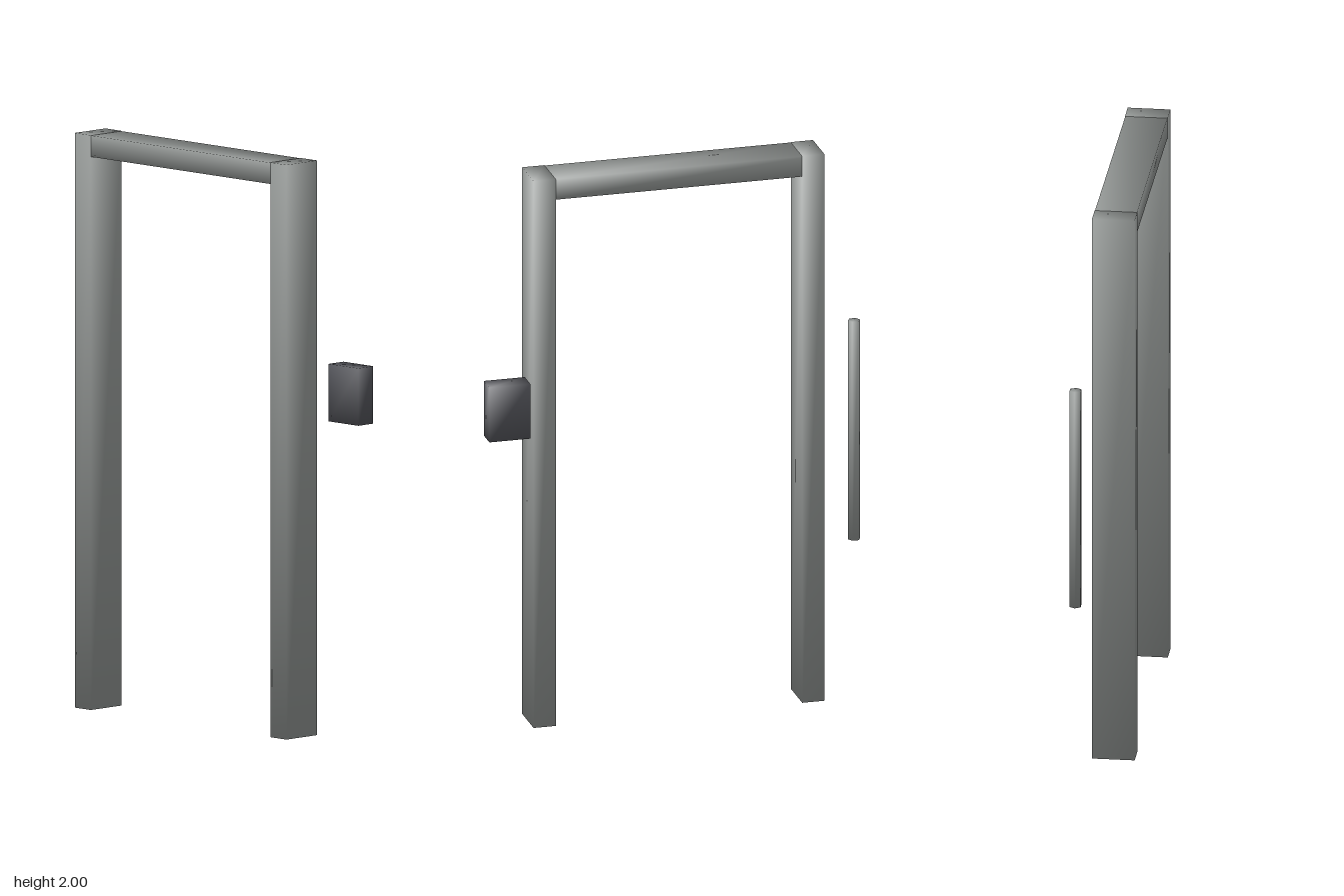
import * as THREE from 'three';

const grey = new THREE.MeshStandardMaterial({ color: 0x8f9391 });
const dark = new THREE.MeshStandardMaterial({ color: 0x515258 });

// Point every normal out through its corner, so the shading runs softly over the edges
function soften(geometry) {
  geometry.computeBoundingBox();
  const half = geometry.boundingBox.max;
  const { position, normal } = geometry.attributes;
  const n = new THREE.Vector3();
  for (let i = 0; i < position.count; i++) {
    n.fromBufferAttribute(position, i).divide(half).normalize();
    normal.setXYZ(i, n.x, n.y, n.z);
  }
  return geometry;
}

function addPart(group, name, geometry, material, x, y, z) {
  const mesh = new THREE.Mesh(soften(geometry), material);
  mesh.name = name;
  mesh.position.set(x, y, z);
  group.add(mesh);
}

export function createModel() {
  const group = new THREE.Group();
  group.name = 'doorFrame';

  // Door frame: two posts, with a lintel running into both of them
  const centreX = -0.036, frameZ = 0.044, depth = 0.148;
  const outer = 0.519, postWidth = 0.079, lintelHeight = 0.074, inset = 0.001;
  for (const side of [-1, 1]) {
    addPart(group, side < 0 ? 'rightPost' : 'leftPost',
      new THREE.BoxGeometry(postWidth, 2, depth), grey,
      centreX + side * (outer - postWidth / 2), 1, frameZ);
  }
  addPart(group, 'lintel',
    new THREE.BoxGeometry(2 * (outer - inset), lintelHeight, depth - 2 * inset), grey,
    centreX, 2 - inset - lintelHeight / 2, frameZ);

  // Upright six-sided pull handle
  const rod = new THREE.CylinderGeometry(0.022, 0.022, 0.8, 6).rotateY(Math.PI / 6);
  addPart(group, 'handleBar', rod, grey, -0.648, 1, -0.076);

  // Wall box beside the frame
  addPart(group, 'wallBox', new THREE.BoxGeometry(0.146, 0.2, 0.072), dark, 0.593, 1.194, -0.085);

  return group;
}
